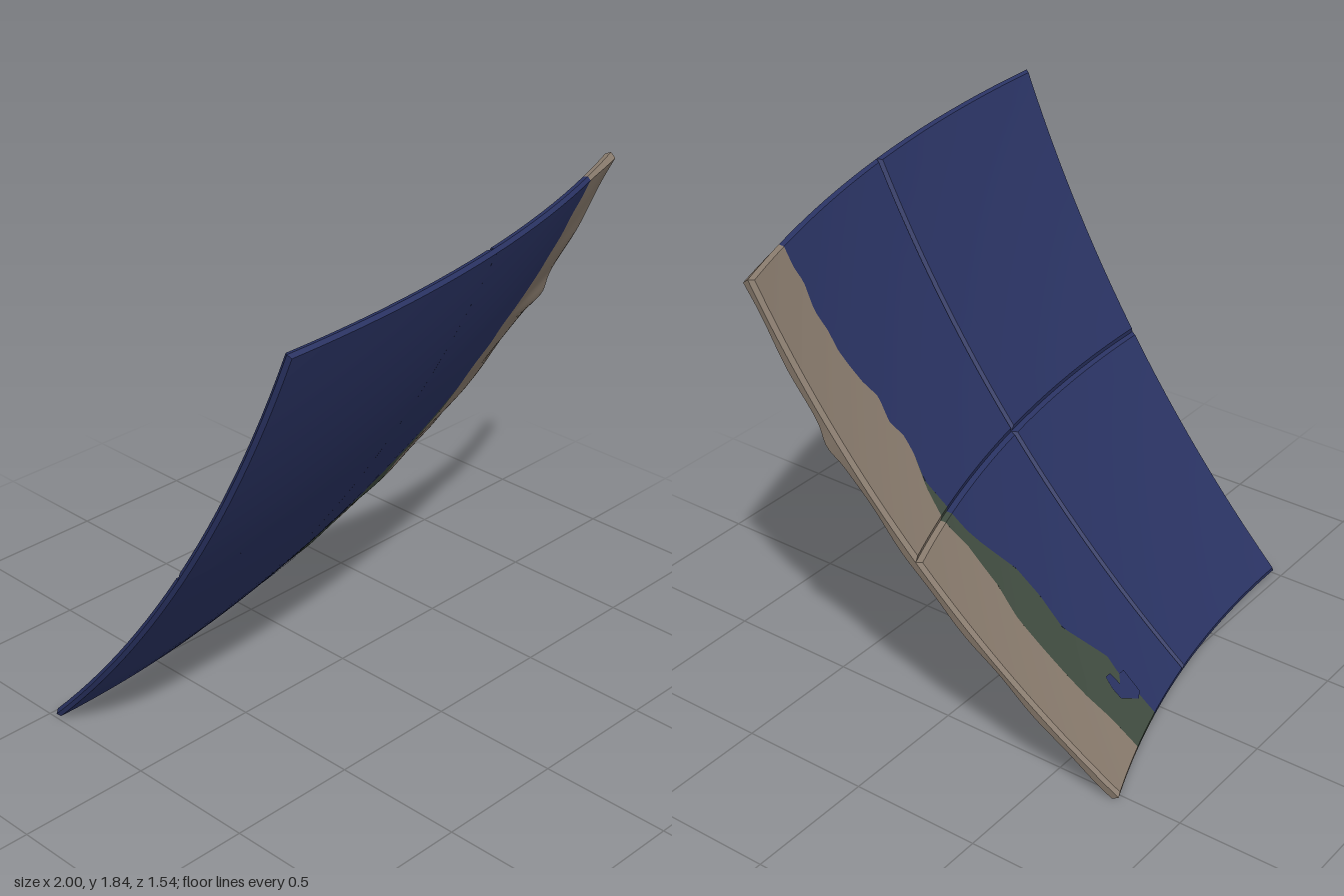
import * as THREE from 'three';
import { toCreasedNormals } from 'three/addons/utils/BufferGeometryUtils.js';

// Shell section of a sphere: latitudes 22.5 to 45 degrees south, longitudes 0 to 22.5
const R = 5.61, THICK = 0.03, CX = -0.99, CY = 3.967, CZ = -4.415;
const STEP = Math.PI / 16, LAT0 = Math.PI / 8;

// Front-plane point (x, y) to longitude and southern latitude
function toLonLat([x, y]) {
  const lat = Math.asin((CY - y) / R);
  return [Math.asin((x - CX) / (R * Math.cos(lat))), lat];
}

// Border line as a function of latitude
function border(points) {
  const p = points.map(toLonLat);
  return (lat) => {
    let i = 0;
    while (i < p.length - 2 && lat > p[i + 1][1]) i++;
    const t = THREE.MathUtils.clamp((lat - p[i][1]) / (p[i + 1][1] - p[i][1]), 0, 1);
    return THREE.MathUtils.lerp(p[i][0], p[i + 1][0], t);
  };
}

const upperCoast = [[0.75, 1.82], [0.74, 1.75], [0.715, 1.69], [0.72, 1.6], [0.69, 1.52], [0.68, 1.45],
  [0.65, 1.38], [0.62, 1.32], [0.57, 1.25], [0.575, 1.17], [0.53, 1.1], [0.525, 1.04]];
const coast = border([...upperCoast, [0.54, 0.96], [0.5, 0.87], [0.46, 0.78], [0.42, 0.72], [0.31, 0.58],
  [0.27, 0.47], [0.255, 0.36], [0.17, 0.26], [0.12, 0.2], [0.12, 0.14], [0.09, 0.07], [0.075, 0]]);
const greenEdge = border([...upperCoast, [0.55, 0.94], [0.55, 0.84], [0.5, 0.75], [0.46, 0.6], [0.46, 0.5],
  [0.43, 0.4], [0.39, 0.28], [0.36, 0.2], [0.31, 0.1], [0.28, 0]]);
const greenTop = toLonLat([0, 1.04])[1];
const ridgeLat = toLonLat([0, 1.27])[1];

// Low relief of the land on the outer face
function relief(lon, lat) {
  const ramp = THREE.MathUtils.smoothstep(lon - coast(lat), 0, 0.06);
  const bumps = 0.01 + 0.003 * Math.sin(lat * 95 + lon * 40) + 0.002 * Math.sin(lat * 47 - lon * 70);
  const ridge = 0.016 * Math.exp(-(((lat - ridgeLat) / 0.01) ** 2));
  return ramp * (bumps + ridge);
}

function place(lon, lat, radius) {
  return new THREE.Vector3(
    CX + radius * Math.cos(lat) * Math.sin(lon),
    CY - radius * Math.sin(lat),
    CZ + radius * Math.cos(lat) * Math.cos(lon));
}
const outer = (lon, lat, lift = 0) => place(lon, lat, R + relief(lon, lat) + lift);

// Middle of the walls: a slight ridge around the perimeter, flush at the joints
function middle(lon, lat) {
  const out = (value, start, p) => {
    if (value < start + 1e-5) return value - p;
    return value > start + 2 * STEP - 1e-5 ? value + p : value;
  };
  return place(out(lon, 0, 0.0019), out(lat, LAT0, 0.0014), R - THICK * 0.5);
}

// Inner points are drawn in along the tile joints, leaving V-shaped grooves
function inner(lon, lat, lift = 0) {
  const inset = (value, start) => {
    const t = THREE.MathUtils.clamp((value - start) / STEP, 0, 2);
    const tile = t < 1 ? 0 : 1, f = t - tile;
    const low = tile ? 0.0026 : 0.0006, high = tile ? 0.0006 : 0.0026;
    return value + low * (1 - f) - high * f;
  };
  return place(inset(lon, 0), inset(lat, LAT0), R - THICK - lift);
}

// Closed slab between two borders, swept as cross-section loops from north to south
function slab(latA, latB, lonA, lonB, rows, cols) {
  const pos = [], index = [], m = 2 * cols + 4, E = 1e-7;
  const rowPoints = (i) => {
    const lat = THREE.MathUtils.lerp(latA + E, latB - E, i / rows);
    const a = lonA(lat) + E, b = Math.max(lonB(lat) - E, a);
    const line = (map) => Array.from({ length: cols + 1 }, (_, j) => map(THREE.MathUtils.lerp(a, b, j / cols), lat));
    return { top: line(outer), mid: line(middle), under: line(inner) };
  };
  const push = (points) => points.forEach((p) => pos.push(p.x, p.y, p.z));
  for (let i = 0; i <= rows; i++) {
    const { top, mid, under } = rowPoints(i);
    push([...top, mid[cols], ...under.reverse(), mid[0]]);
  }
  for (let i = 0; i < rows; i++) {
    for (let k = 0; k < m; k++) {
      const a = i * m + k, b = i * m + (k + 1) % m, c = a + m, d = b + m;
      index.push(a, c, b, b, c, d);
    }
  }
  // End walls, each folded along its middle line
  for (const i of [0, rows]) {
    const base = i * m, fold = pos.length / 3, under = base + 2 * cols + 2;
    push(rowPoints(i).mid);
    const quad = (a, b, c, d) => (i === 0 ? index.push(a, b, c, a, c, d) : index.push(a, c, b, a, d, c));
    for (let k = 0; k < cols; k++) {
      quad(base + k, base + k + 1, fold + k + 1, fold + k);
      quad(fold + k, fold + k + 1, under - k - 1, under - k);
    }
  }
  const geo = new THREE.BufferGeometry();
  geo.setAttribute('position', new THREE.Float32BufferAttribute(pos, 3));
  geo.setIndex(index);
  return toCreasedNormals(geo, 0.35);
}

function material(name, color) {
  const mat = new THREE.MeshStandardMaterial({ color, side: THREE.DoubleSide });
  mat.name = name;
  return mat;
}

export function createModel() {
  const model = new THREE.Group();
  model.name = 'globeShellSection';
  const blue = material('seaBlue', 0x2a3363);
  const green = material('forestGreen', 0x414d41);
  const tan = material('dryLandTan', 0x8a7c6e);
  const add = (name, geo, mat) => {
    const mesh = new THREE.Mesh(geo, mat);
    mesh.name = name;
    model.add(mesh);
  };

  // Four tiles: the western pair is sea, the eastern pair has sea, forest and dry land
  const west = () => 0, joint = () => STEP, east = () => 2 * STEP;
  ['upper', 'lower'].forEach((row, i) => {
    const a = LAT0 + i * STEP, b = a + STEP;
    add(row + 'WestSea', slab(a, b, west, joint, 12, 10), blue);
    add(row + 'EastSea', slab(a, b, joint, coast, 44, 8), blue);
    add(row + 'Forest', slab(Math.max(a, greenTop), b, coast, greenEdge, 36, 4), green);
    add(row + 'DryLand', slab(a, b, greenEdge, east, 44, 8), tan);
  });

  // Hooked inlet at the southern coast, on both faces
  const inlet = [[0.08, 0.07], [0.09, 0.14], [0.12, 0.145], [0.155, 0.13], [0.17, 0.17], [0.205, 0.175],
    [0.21, 0.14], [0.2, 0.105], [0.14, 0.075], [0.11, 0.06]];
  const shape = new THREE.Shape(inlet.map((p) => new THREE.Vector2(...toLonLat(p))));
  for (const [name, map] of [['outerInlet', outer], ['innerInlet', inner]]) {
    const geo = new THREE.ShapeGeometry(shape);
    const p = geo.attributes.position, idx = geo.index.array;
    for (let i = 0; i < p.count; i++) p.setXYZ(i, ...map(p.getX(i), p.getY(i), 0.004).toArray());
    // Latitude runs downwards, so the outer plate needs its corners reversed
    if (map === outer) for (let i = 0; i < idx.length; i += 3) [idx[i], idx[i + 1]] = [idx[i + 1], idx[i]];
    geo.computeVertexNormals();
    add(name, geo, blue);
  }
  return model;
}
